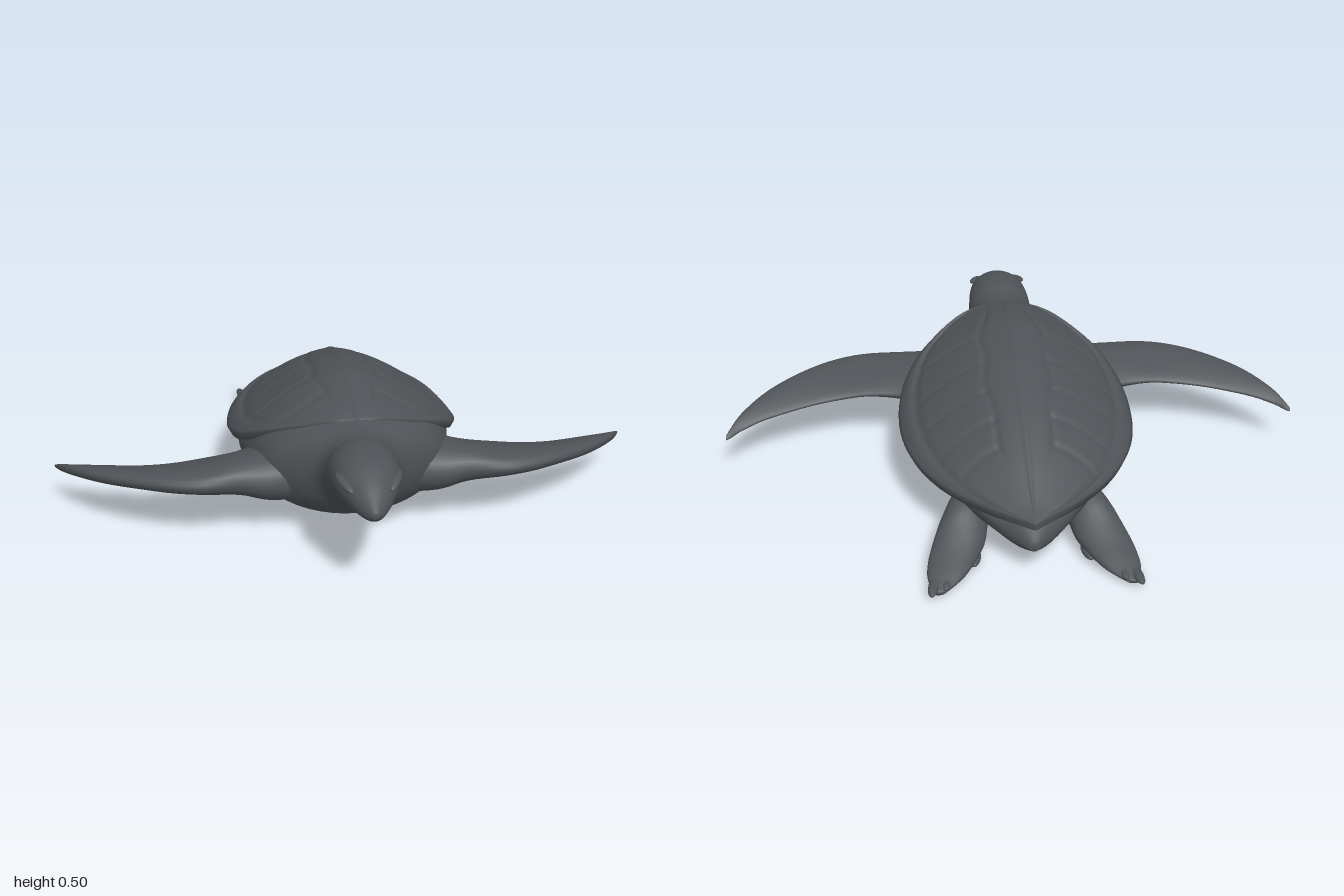
import * as THREE from 'three';

const skin = new THREE.MeshStandardMaterial({ color: 0x4f5357 });
skin.name = 'slateGrey';

// Smooth resampling of rows of section parameters
function resample(rows, steps) {
  const out = [], last = rows.length - 1;
  for (let i = 0; i < last; i++) {
    const a = rows[Math.max(i - 1, 0)], b = rows[i], c = rows[i + 1], d = rows[Math.min(i + 2, last)];
    for (let k = 0; k < steps; k++) {
      const t = k / steps;
      out.push(b.map((_, j) => {
        const m0 = (c[j] - a[j]) / 2, m1 = (d[j] - b[j]) / 2, e = c[j] - b[j];
        return b[j] + m0 * t + (3 * e - 2 * m0 - m1) * t * t + (m0 + m1 - 2 * e) * t * t * t;
      }));
    }
  }
  out.push(rows[last]);
  return out;
}

// Closed skin over rings of points, wound outwards
function loft(name, rings) {
  const n = rings[0].length, pos = rings.flat(2), idx = [];
  for (let r = 0; r < rings.length - 1; r++) {
    for (let i = 0; i < n; i++) {
      const a = r * n + i, b = r * n + (i + 1) % n;
      idx.push(a, b, a + n, b, b + n, a + n);
    }
  }
  [0, rings.length - 1].forEach((r, end) => {
    const c = pos.length / 3;
    for (let k = 0; k < 3; k++) pos.push(rings[r].reduce((s, p) => s + p[k], 0) / n);
    for (let i = 0; i < n; i++) {
      const a = r * n + i, b = r * n + (i + 1) % n;
      idx.push(...(end ? [a, b, c] : [b, a, c]));
    }
  });
  const v = i => new THREE.Vector3().fromArray(pos, i * 3);
  let volume = 0;
  for (let i = 0; i < idx.length; i += 3) volume += v(idx[i]).dot(v(idx[i + 1]).cross(v(idx[i + 2])));
  if (volume < 0) idx.reverse();
  const g = new THREE.BufferGeometry();
  g.setAttribute('position', new THREE.Float32BufferAttribute(pos, 3));
  g.setIndex(idx);
  g.computeVertexNormals();
  const mesh = new THREE.Mesh(g, skin);
  mesh.name = name;
  return mesh;
}

const around = (n, f) => Array.from({ length: n }, (_, i) => f(i / n * Math.PI * 2));

// Head, neck and belly: z, half width, top, bottom, height of widest point
function body() {
  const rows = resample([
    [0.79, 0.01, 0.36, 0.34, 0.35], [0.765, 0.032, 0.378, 0.32, 0.345], [0.7, 0.07, 0.42, 0.3, 0.36],
    [0.62, 0.102, 0.452, 0.28, 0.37], [0.52, 0.115, 0.457, 0.245, 0.35], [0.46, 0.118, 0.446, 0.205, 0.32],
    [0.41, 0.145, 0.444, 0.155, 0.3], [0.36, 0.22, 0.45, 0.11, 0.28], [0.3, 0.29, 0.455, 0.07, 0.26],
    [0.2, 0.33, 0.45, 0.025, 0.25], [0.1, 0.35, 0.41, 0.01, 0.24], [0, 0.365, 0.37, 0.004, 0.225],
    [-0.2, 0.355, 0.32, 0.014, 0.2], [-0.4, 0.27, 0.27, 0.045, 0.19], [-0.55, 0.165, 0.22, 0.075, 0.17],
    [-0.64, 0.08, 0.2, 0.078, 0.14], [-0.69, 0.015, 0.13, 0.1, 0.115],
  ], 6);
  return loft('headAndBody', rows.map(([z, w, top, bot, mid]) => around(48, t => {
    const s = Math.sin(t);
    return [w * Math.cos(t), mid + s * (s > 0 ? top - mid : mid - bot), z];
  })));
}

// Carved relief of the shell: rim groove, lengthwise seams and curved ribs
const bump = (d, w) => Math.exp(-((d / w) ** 2));
function relief(a, z) {
  const seam = 0.27 + 0.018 * Math.sin(z * 26);
  const along = THREE.MathUtils.smoothstep(z, -0.5, -0.4) * (1 - THREE.MathUtils.smoothstep(z, 0.22, 0.3));
  let h = -0.008 * bump(a - 0.85, 0.025) + 0.008 * bump(a - 0.93, 0.05) - 0.007 * along * bump(a - seam, 0.022);
  if (a > seam && a < 0.85) {
    for (const z0 of [0.2, 0.06, -0.08, -0.21, -0.33, -0.43]) {
      const line = z0 + (z0 + 0.08) * 0.25 * (a - 0.27) - 0.12 * (a - 0.55) ** 2;
      h -= 0.005 * bump(z - line, 0.011);
    }
  }
  return h + 0.004 * bump(a, 0.03);
}

// Shell: z, half width, rim height, ridge height
function shell() {
  const rows = resample([
    [0.36, 0.02, 0.446, 0.452], [0.34, 0.11, 0.435, 0.46], [0.3, 0.2, 0.405, 0.473], [0.2, 0.31, 0.345, 0.494],
    [0.1, 0.37, 0.29, 0.504], [0, 0.395, 0.255, 0.494], [-0.1, 0.4, 0.232, 0.476], [-0.2, 0.39, 0.222, 0.447],
    [-0.3, 0.365, 0.218, 0.411], [-0.4, 0.32, 0.216, 0.368], [-0.5, 0.25, 0.214, 0.317],
    [-0.6, 0.145, 0.212, 0.26], [-0.65, 0.075, 0.211, 0.234], [-0.7, 0.004, 0.21, 0.214],
  ], 11);
  const N = 84, U = 12;
  return loft('shell', rows.map(([z, w, rim, top]) => {
    const ring = [];
    const fade = Math.min(1, w / 0.12);
    for (let i = 0; i <= N; i++) {
      const u = -1 + 2 * i / N, a = Math.abs(u);
      ring.push([w * u, rim + (top - rim) * (1 - a ** 1.6) + relief(a, z) * fade, z]);
    }
    for (let i = 0; i <= U; i++) {
      const u = 1 - 2 * i / U;
      ring.push([w * 0.97 * u, rim - 0.022, z]);
    }
    return ring;
  }));
}

// Front flipper: x, leading z, trailing z, leading y, trailing y, thickness
function frontFlipper(s) {
  const rows = resample([
    [0.15, 0.34, 0.02, 0.22, 0.2, 0.2], [0.28, 0.36, 0.05, 0.22, 0.21, 0.17], [0.38, 0.36, 0.11, 0.235, 0.215, 0.125],
    [0.5, 0.375, 0.133, 0.24, 0.215, 0.088], [0.6, 0.355, 0.135, 0.24, 0.205, 0.076],
    [0.7, 0.31, 0.12, 0.235, 0.195, 0.066], [0.8, 0.245, 0.09, 0.222, 0.185, 0.06],
    [0.88, 0.175, 0.06, 0.207, 0.175, 0.05], [0.95, 0.09, 0.025, 0.185, 0.16, 0.036],
    [0.985, 0.03, -0.003, 0.165, 0.15, 0.022], [1, 0, -0.012, 0.155, 0.148, 0.008],
  ], 5);
  return loft(s > 0 ? 'leftFrontFlipper' : 'rightFrontFlipper', rows.map(([x, zl, zt, yl, yt, th]) => around(28, t => {
    const f = (1 - Math.cos(t)) / 2;
    return [s * x, yl + (yt - yl) * f + th * 0.62 * Math.sin(t) * (1 - 0.5 * f), zl + (zt - zl) * f];
  })));
}

// Hind flipper: z, inner x, outer x, bottom, top
function hindFlipper(s) {
  const group = new THREE.Group();
  group.name = s > 0 ? 'leftHindFlipper' : 'rightHindFlipper';
  const rows = resample([
    [-0.34, 0.1, 0.2, 0.05, 0.17], [-0.42, 0.11, 0.25, 0.025, 0.18], [-0.5, 0.13, 0.285, 0.012, 0.16],
    [-0.57, 0.145, 0.312, 0.012, 0.115], [-0.63, 0.175, 0.329, 0.012, 0.082], [-0.69, 0.21, 0.336, 0.012, 0.057],
    [-0.73, 0.245, 0.33, 0.012, 0.04], [-0.765, 0.285, 0.32, 0.012, 0.026],
  ], 5);
  group.add(loft('foot', rows.map(([z, xi, xo, bot, top]) => around(24, t => [
    s * ((xi + xo) / 2 + (xo - xi) / 2 * Math.cos(t)), (bot + top) / 2 + (top - bot) / 2 * Math.sin(t), z,
  ]))));
  // Toes: tip x, tip z, length
  for (const [x, z, len] of [[0.308, -0.792, 0.12], [0.265, -0.765, 0.11], [0.225, -0.72, 0.1], [0.172, -0.652, 0.09]]) {
    const toe = new THREE.Mesh(new THREE.SphereGeometry(1, 14, 10), skin);
    toe.name = 'toe';
    toe.scale.set(0.018, 0.014, len / 2);
    toe.rotation.y = -s * 0.2;
    toe.position.set(s * (x + 0.008), 0.027, z + len / 2);
    group.add(toe);
  }
  return group;
}

// Heavy eyelid on the side of the head
function eyelid(s) {
  const lid = new THREE.Mesh(new THREE.SphereGeometry(1, 18, 12), skin);
  lid.name = s > 0 ? 'leftEyelid' : 'rightEyelid';
  lid.scale.set(0.016, 0.012, 0.05);
  lid.position.set(s * 0.078, 0.4, 0.667);
  lid.rotation.set(0.25, -s * 0.42, 0);
  return lid;
}

export function createModel() {
  const turtle = new THREE.Group();
  turtle.name = 'seaTurtle';
  turtle.add(body(), shell());
  for (const s of [1, -1]) turtle.add(frontFlipper(s), hindFlipper(s), eyelid(s));
  return turtle;
}
